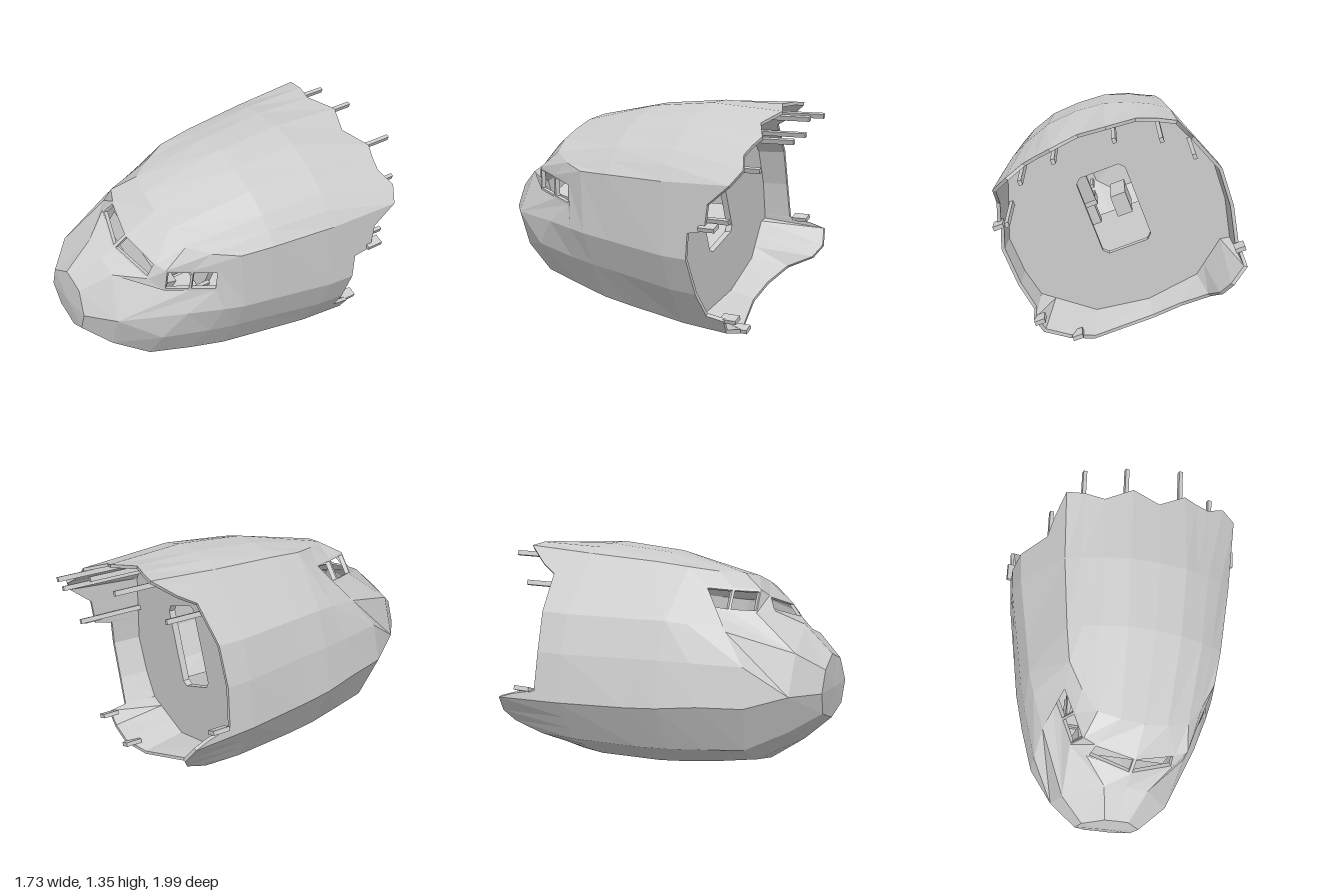
import * as THREE from 'three';

const grey = new THREE.MeshStandardMaterial({ color: 0xcccccc, flatShading: true, side: THREE.DoubleSide });
const V = (x, y, z) => new THREE.Vector3(x, y, z);
const mix = (a, b, t) => a.clone().lerp(b, t);

// Collects triangles and quads into one flat-shaded mesh, skipping collapsed triangles
function patch(name) {
  const pts = [];
  const tri = (a, b, c) => {
    if (a.equals(b) || b.equals(c) || c.equals(a)) return;
    [a, b, c].forEach(p => pts.push(p.x, p.y, p.z));
  };
  return {
    tri,
    quad(a, b, c, d) { tri(a, b, c); tri(a, c, d); },
    mesh() {
      const g = new THREE.BufferGeometry();
      g.setAttribute('position', new THREE.Float32BufferAttribute(pts, 3));
      g.computeVertexNormals();
      const m = new THREE.Mesh(g, grey);
      m.name = name;
      return m;
    },
  };
}

function box(parent, name, w, h, d, x, y, z, rx = 0) {
  const m = new THREE.Mesh(new THREE.BoxGeometry(w, h, d), grey);
  m.name = name;
  m.position.set(x, y, z);
  m.rotation.x = rx;
  parent.add(m);
  return m;
}

// Octagonal nose sections; several columns share a corner
const noseAngles = [90, 67, 67, 20, 20, 20, -22, -22, -65, -90];
const noseRing = (r, z, sweep) => noseAngles.map(deg => {
  const a = deg * Math.PI / 180, k = Math.abs(deg) === 90 ? r * .92 : r;
  return V(k * Math.cos(a), -0.07 + k * Math.sin(a), z - sweep * Math.abs(Math.sin(a)));
});
const ring = rows => rows.map(p => V(...p));
const section = (xy, z) => xy.map(([x, y]) => V(x, y, z));

const backXY = [[0, .65], [.17, .635], [.33, .58], [.43, .53], [.51, .47],
  [.66, .08], [.65, -.15], [.59, -.42], [.36, -.6], [0, -.65]];

const rings = [
  noseRing(.185, 1.1, .02),
  noseRing(.335, .985, .07),
  // window band, lower edge
  ring([[0, .295, .85], [.26, .28, .77], [.345, .24, .71], [.4, .225, .57], [.465, .225, .43],
    [.47, .1, .6], [.46, -.08, .73], [.415, -.3, .75], [.21, -.51, .71], [0, -.54, .71]]),
  // window band, upper edge
  ring([[0, .375, .775], [.24, .365, .725], [.31, .38, .7], [.365, .365, .56], [.425, .355, .42],
    [.54, .11, .4], [.53, -.1, .45], [.48, -.33, .5], [.25, -.54, .5], [0, -.58, .5]]),
  // brow
  ring([[0, .495, .61], [.14, .495, .6], [.27, .475, .57], [.36, .455, .45], [.44, .45, .3],
    [.575, .11, .28], [.565, -.11, .28], [.52, -.37, .28], [.29, -.57, .28], [0, -.615, .28]]),
  section([[0, .615], [.16, .605], [.31, .555], [.39, .51], [.47, .46],
    [.6, .1], [.59, -.12], [.54, -.39], [.31, -.585], [0, -.635]], .1),
  section(backXY, -.3),
];
const windowRow = 2, windowCols = [0, 2, 3];

function buildHull() {
  const hull = patch('hull'), frames = patch('windowFrames');
  for (const s of [1, -1]) {
    const put = (p, a, b, c, d) => (s > 0 ? p.quad(a, b, c, d) : p.quad(d, c, b, a));
    const R = rings.map(r => r.map(p => V(p.x * s, p.y, p.z)));
    const tip = V(0, -.07, 1.1);
    for (let c = 0; c < 9; c++) {
      if (s > 0) hull.tri(tip, R[0][c + 1], R[0][c]);
      else hull.tri(tip, R[0][c], R[0][c + 1]);
      for (let r = 0; r < R.length - 1; r++) {
        const q = [R[r][c], R[r][c + 1], R[r + 1][c + 1], R[r + 1][c]];
        if (r !== windowRow || !windowCols.includes(c)) { put(hull, ...q); continue; }
        // framed opening with a shallow reveal
        const at = (u, v) => mix(mix(q[0], q[1], u), mix(q[3], q[2], u), v);
        const hole = [at(.04, .1), at(.95, .1), at(.95, .9), at(.04, .9)];
        const deep = hole.map(p => V(p.x * .96, p.y - .005, p.z - .02));
        for (let i = 0; i < 4; i++) {
          const j = (i + 1) % 4;
          put(hull, q[i], q[j], hole[j], hole[i]);
          put(frames, hole[i], hole[j], deep[j], deep[i]);
        }
      }
    }
  }
  return [hull.mesh(), frames.mesh()];
}

// Point of the rear section at signed column s (positive on the left side);
// the crown and keel close in towards the tail while the flanks keep widening
function backPoint(s, z, scale) {
  const a = Math.abs(s), i = Math.min(8, Math.floor(a)), t = a - i;
  const [p, q] = [backXY[i], backXY[i + 1]];
  const flare = a < 7 ? Math.min(.1, -.18 + a * .07) : .1 - (a - 7) * .12;
  const k = scale * (1 - (z + .3) * flare);
  return V(Math.sign(s) * (p[0] + (q[0] - p[0]) * t) * k, (p[1] + (q[1] - p[1]) * t) * k, z);
}

// Torn rear edge: column and depth, all the way round
const tear = [[-9, -.44], [-8.5, -.46], [-8, -.52], [-7.7, -.67], [-7.4, -.715], [-7, -.69], [-6.9, -.6],
  [-6.8, -.46], [-6, -.45], [-5, -.46], [-4.4, -.49], [-4.25, -.59], [-4, -.71], [-3, -.7], [-2, -.67],
  [-1, -.75], [0, -.69], [1, -.775], [1.5, -.75], [2, -.735], [3, -.78], [4, -.735], [4.25, -.6],
  [4.6, -.58], [4.65, -.47], [5, -.46], [6, -.47], [6.6, -.49], [6.65, -.6], [7, -.59], [7.5, -.6],
  [8, -.54], [9, -.44]];

function buildTornRim() {
  const rim = patch('tornRim');
  for (let i = 0; i < tear.length - 1; i++) {
    const line = ([s, z]) => {
      const inner = Math.abs(s) > 6.9 ? .88 : .965;   // thicker belly
      return [backPoint(s, -.3, 1), backPoint(s, z, 1), backPoint(s, z, .97), backPoint(s, -.29, inner)];
    };
    const A = line(tear[i]), B = line(tear[i + 1]);
    for (let k = 0; k < 3; k++) rim.quad(A[k], A[k + 1], B[k + 1], B[k]);
  }
  return rim.mesh();
}

// Rear wall with a doorway
function buildBulkhead() {
  const right = backXY.map(([x, y]) => new THREE.Vector2(x * .98, y * .98));
  const left = right.slice(1, -1).reverse().map(p => new THREE.Vector2(-p.x, p.y));
  const shape = new THREE.Shape([...right, ...left]);
  const [w, b, t, c] = [.15, -.22, .27, .03];
  shape.holes.push(new THREE.Path([[-w + c, b], [w - c, b], [w, b + c], [w, t - c], [w - c, t],
    [-w + c, t], [-w, t - c], [-w, b + c]].map(p => new THREE.Vector2(...p))));
  const m = new THREE.Mesh(new THREE.ExtrudeGeometry(shape, { depth: .04, bevelEnabled: false }), grey);
  m.name = 'bulkhead';
  m.position.z = -.29;
  return m;
}

function buildCockpit() {
  const cabin = new THREE.Group();
  cabin.name = 'cockpitInterior';
  box(cabin, 'floor', .9, .03, .8, 0, -.24, .14);
  box(cabin, 'dashboard', .56, .12, .1, 0, .12, .64, -.3);
  box(cabin, 'centreConsole', .1, .14, .3, 0, -.14, .46);
  for (const s of [1, -1]) {
    const seat = new THREE.Group();
    seat.name = s > 0 ? 'leftSeat' : 'rightSeat';
    seat.position.set(s * .22, 0, .43);
    box(seat, 'seatBase', .1, .14, .1, 0, -.16, 0);
    box(seat, 'seatCushion', .15, .05, .16, 0, -.07, 0);
    box(seat, 'seatBack', .15, .28, .04, 0, .08, -.09, -.12);
    box(seat, 'headrest', .09, .08, .04, 0, .26, -.11, -.12);
    for (const t of [1, -1]) box(seat, 'armrest', .02, .025, .14, t * .085, .03, -.02);
    cabin.add(seat);
  }
  return cabin;
}

export function createModel() {
  const model = new THREE.Group();
  model.name = 'brokenAircraftNose';
  const body = new THREE.Group();
  body.name = 'fuselage';
  // resting yawed and rolled on its side
  body.rotation.set(0, -.49, -.365, 'YXZ');
  body.position.set(-.082, .685, -.044);
  body.add(...buildHull(), buildTornRim(), buildBulkhead(), buildCockpit());

  // exposed stringers: x, y, rear end
  for (const [x, y, end] of [[-.55, .26, -.68], [-.42, .46, -.88], [-.19, .55, -.9], [.14, .57, -.95], [.36, .5, -.84], [.54, .27, -.7]])
    box(body, 'stringer', .022, .028, -.27 - end, x, y, (end - .27) / 2);

  // bent lips left along the torn edge
  for (const [x, y, d] of [[.6, .26, -.6], [.59, -.34, -.62], [.43, -.52, -.58], [-.61, -.37, -.53]])
    box(body, 'tornLip', .06, .025, .1, x, y, d);

  model.add(body);
  return model;
}
